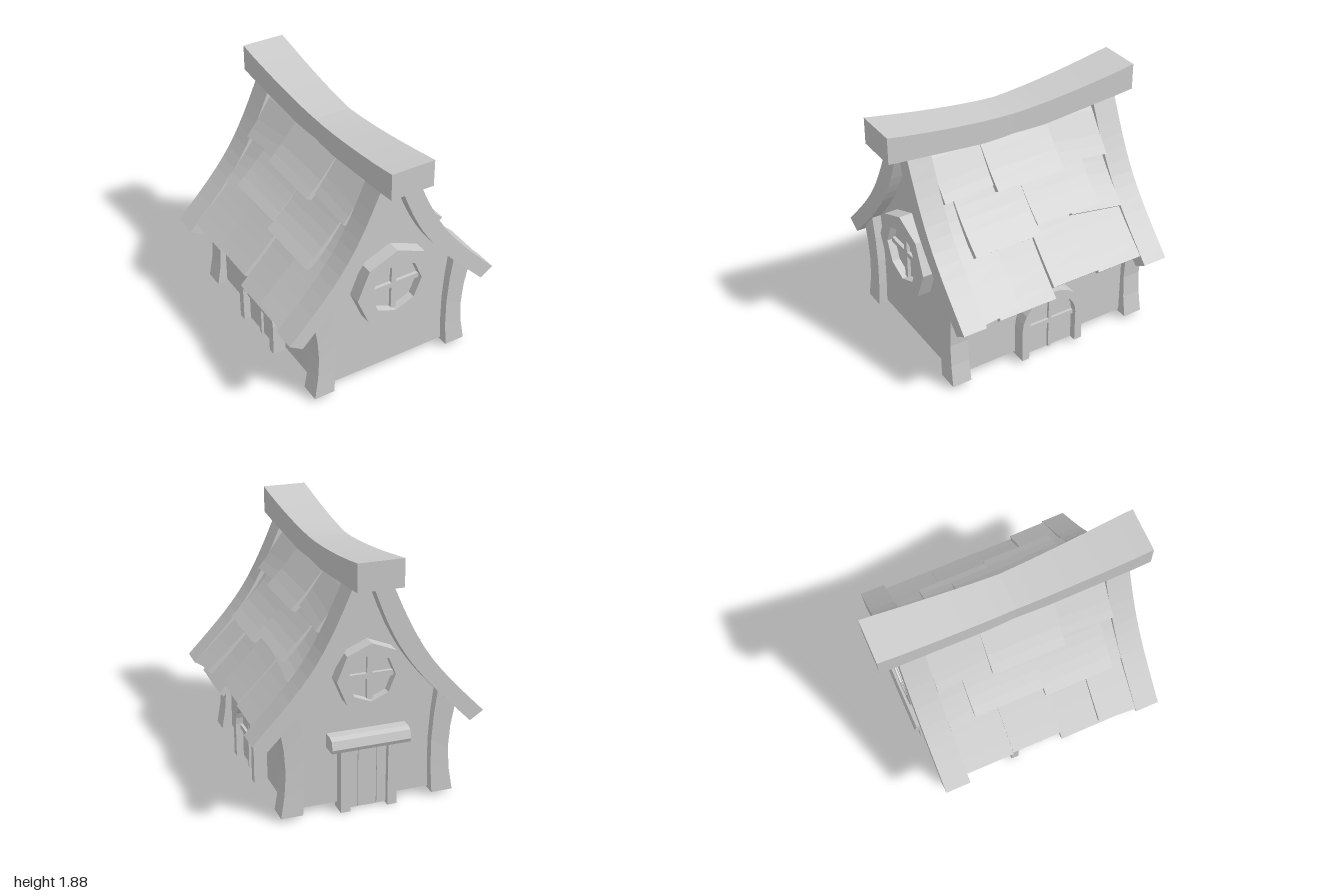
import * as THREE from 'three';

const mat = new THREE.MeshStandardMaterial({ color: 0xcccccc, flatShading: true, side: THREE.DoubleSide });
const V = (x, y) => new THREE.Vector2(x, y);

function add(parent, name, geo, x = 0, y = 0, z = 0) {
  const m = new THREE.Mesh(geo, mat);
  m.name = name;
  m.position.set(x, y, z);
  parent.add(m);
  return m;
}
const box = (w, h, d) => new THREE.BoxGeometry(w, h, d);

// Extrude a 2D outline (optionally with a hole) from z0 to z1
function slab(pts, z0, z1, hole) {
  const shape = new THREE.Shape(pts);
  if (hole) shape.holes.push(new THREE.Path(hole));
  return new THREE.ExtrudeGeometry(shape, { depth: z1 - z0, bevelEnabled: false }).translate(0, 0, z0);
}

// Flared roof profile: outer and inner edge, from ridge to eaves
const outer = new THREE.SplineCurve([V(0.13, 1.69), V(0.26, 1.4), V(0.4, 1.15), V(0.58, 0.92), V(0.85, 0.635)]);
const inner = new THREE.SplineCurve([V(0, 1.67), V(0.12, 1.37), V(0.26, 1.12), V(0.46, 0.87), V(0.75, 0.57)]);

// Outer roof profile between t0 and t1, pushed out from lift0 to lift1
function roofLine(t0, t1, lift0, lift1, n = 5) {
  const pts = [];
  for (let i = 0; i <= n; i++) {
    const f = i / n, t = t0 + (t1 - t0) * f, p = outer.getPoint(t), d = outer.getTangent(t);
    const lift = lift0 + (lift1 - lift0) * f;
    pts.push(V(p.x - d.y * lift, p.y + d.x * lift));
  }
  return pts;
}
function layer(s, t0, t1, lift0, lift1, thick, z0, z1) {
  const pts = [...roofLine(t0, t1, lift0, lift1), ...roofLine(t0, t1, lift0 - thick, lift1 - thick).reverse()];
  return slab(pts.map(p => V(p.x * s, p.y)), z0, z1);
}

// Shingles: z0, z1, start, end, lift at start, lift at end, slant of the lower edge
const shingles = [
  [0.27, 0.67, 0.02, 0.31, -0.05, 0.03, -0.05], [-0.27, 0.28, 0.02, 0.345, -0.05, 0.075, 0],
  [-0.67, -0.27, 0.02, 0.32, -0.05, 0.03, 0.1],
  [0.57, 0.67, 0.28, 0.68, -0.04, 0.0, 0], [0.05, 0.58, 0.28, 0.69, -0.03, 0.055, 0],
  [-0.48, 0.05, 0.28, 0.63, -0.03, 0.055, 0], [-0.67, -0.25, 0.28, 0.665, -0.04, 0.02, 0.12],
  [0.38, 0.67, 0.6, 0.965, -0.03, 0.0, -0.08], [0.08, 0.54, 0.6, 0.985, -0.04, -0.035, 0],
  [-0.3, 0.08, 0.6, 0.925, -0.02, 0.0, 0], [-0.67, -0.3, 0.6, 0.935, -0.03, -0.005, 0],
];

function buildRoof() {
  const roof = new THREE.Group();
  roof.name = 'roof';
  for (const s of [1, -1]) {
    add(roof, 'roofDeck', layer(s, 0, 0.92, -0.065, -0.065, 0.03, -0.68, 0.68));
    for (const [z0, z1, t0, t1, a, b, k] of shingles) {
      const mid = (z0 + z1) / 2;
      const slant = new THREE.Matrix4().makeShear(0, 0, 0, 0, -0.6 * k * s, k);
      const geo = layer(s, t0, t1, a, b, 0.045, z0 - mid, z1 - mid).applyMatrix4(slant);
      add(roof, 'shingle', geo, 0, 0, mid);
    }
    // Curved boards edging both gables
    const board = [...outer.getPoints(12), ...inner.getPoints(12).reverse()].map(p => V(p.x * s, p.y));
    add(roof, 'gableBoard', slab(board, 0.67, 0.85));
    add(roof, 'gableBoard', slab(board, -0.86, -0.67));
  }
  // Sagging ridge beam, wider and higher at its ends
  const beam = new THREE.BoxGeometry(2, 2, 2, 1, 1, 16);
  const p = beam.attributes.position;
  for (let i = 0; i < p.count; i++) {
    const z = p.getZ(i), a = Math.abs(z);
    const top = 1.76 + 0.12 * Math.pow(a, 1.5), low = 1.6 + 0.08 * Math.max(0, (a - 0.25) / 0.75);
    p.setXYZ(i, p.getX(i) * (0.14 + 0.025 * Math.min(1, a * 1.1)), p.getY(i) > 0 ? top : low, z);
  }
  add(roof, 'ridgeBeam', beam);
  return roof;
}

function buildWalls() {
  const walls = new THREE.Group();
  walls.name = 'walls';
  // Gable outline follows the roof, kept just inside it
  const W = 0.565, side = [];
  for (let i = 0; i <= 12; i++) {
    const t = i / 12, p = inner.getPoint(t).lerp(outer.getPoint(t), 0.25);
    if (p.x < W) side.push(i ? p : V(0, 1.66));
  }
  const half = [...side, V(W, 0.79), V(W, 0.05)];
  const outline = [...half, ...half.slice(1).reverse().map(p => V(-p.x, p.y))];
  add(walls, 'frontWall', new THREE.ShapeGeometry(new THREE.Shape(outline)), 0, 0, 0.76);
  add(walls, 'backWall', new THREE.ShapeGeometry(new THREE.Shape(outline)).rotateY(Math.PI), 0, 0, -0.76);
  for (const s of [1, -1])
    add(walls, 'sideWall', new THREE.PlaneGeometry(1.52, 0.74).rotateY(s * Math.PI / 2), s * W, 0.42, 0);

  // Waisted corner posts, hollow from below
  for (const s of [1, -1]) for (const e of [1, -1]) {
    const g = new THREE.CylinderGeometry(Math.SQRT1_2, Math.SQRT1_2, 1, 4, 4, true).rotateY(Math.PI / 4);
    const p = g.attributes.position;
    for (let i = 0; i < p.count; i++) {
      const u = s * p.getX(i) + 0.5, v = p.getY(i) + 0.5, w = e * p.getZ(i) + 0.5;
      const bend = Math.sin(Math.PI * v);
      const xIn = 0.485 + 0.025 * v * v - 0.018 * bend, xOut = 0.645 - 0.04 * bend;
      const x = xIn + (xOut - xIn) * u;
      p.setXYZ(i, s * x, 0.03 + v * (0.82 - 0.14 * u), e * (0.68 + (0.15 - 0.008 * bend) * w));
    }
    add(walls, 'cornerPost', g);
  }
  return walls;
}

// Octagonal window facing +z, centred on the origin
function octagonWindow(R, r) {
  const g = new THREE.Group();
  const ring = q => Array.from({ length: 8 }, (_, i) => V(q * Math.sin(i * Math.PI / 4), q * Math.cos(i * Math.PI / 4)));
  add(g, 'windowFrame', slab(ring(R), -0.04, 0.1, ring(r)));
  add(g, 'windowPane', slab(ring(r), 0.01, 0.04));
  add(g, 'windowBar', box(0.04, 2 * r, 0.03), 0, 0, 0.05);
  add(g, 'windowBar', box(2 * r, 0.04, 0.03), 0, 0, 0.05);
  return g;
}

// Arched window facing +z, standing on its own legs
function archWindow() {
  const g = new THREE.Group();
  const arch = r => Array.from({ length: 13 }, (_, i) => V(r * Math.cos(i * Math.PI / 12), 0.29 + r * Math.sin(i * Math.PI / 12)));
  const R = 0.26, r = 0.2, y0 = 0.025;
  add(g, 'archFrame', slab([V(R, y0), ...arch(R), V(-R, y0), V(-r, y0), ...arch(r).reverse(), V(r, y0)], -0.05, 0.1));
  add(g, 'archPane', slab([V(r, y0), ...arch(r), V(-r, y0)], 0.02, 0.045));
  add(g, 'archBar', box(0.025, 0.46, 0.03), 0, 0.26, 0.05);
  add(g, 'archBar', box(0.4, 0.035, 0.03), 0, 0.27, 0.05);
  return g;
}

// Plank door with posts and a chamfered canopy, facing +z
function buildDoor() {
  const g = new THREE.Group();
  g.name = 'door';
  for (const s of [1, -1]) add(g, 'doorPost', box(0.07, 0.5, 0.12), s * 0.175, 0.25, 0.02);
  for (let i = 0; i < 4; i++)
    add(g, 'doorPlank', box(0.069, 0.49, 0.05 + 0.016 * (i % 2)), -0.105 + i * 0.07, 0.25 + 0.006 * (i % 2), 0.01);
  const canopy = slab([V(-0.04, 0.49), V(0.115, 0.49), V(0.128, 0.52), V(0.11, 0.58), V(0.07, 0.595), V(-0.04, 0.595)], -0.29, 0.29);
  add(g, 'doorCanopy', canopy.rotateY(-Math.PI / 2));
  return g;
}

export function createModel() {
  const house = new THREE.Group();
  house.name = 'cottage';
  house.add(buildRoof(), buildWalls());

  const front = octagonWindow(0.318, 0.21);
  front.name = 'frontWindow';
  front.position.set(0, 0.805, 0.76);

  const back = octagonWindow(0.25, 0.175);
  back.name = 'backWindow';
  back.position.set(0, 1.01, -0.76);
  back.rotation.y = Math.PI;

  const door = buildDoor();
  door.position.z = -0.76;
  door.rotation.y = Math.PI;
  house.add(front, back, door);

  for (const s of [1, -1]) {
    const w = archWindow();
    w.name = s > 0 ? 'leftWindow' : 'rightWindow';
    w.position.x = s * 0.565;
    w.rotation.y = s * Math.PI / 2;
    house.add(w);
  }
  return house;
}
